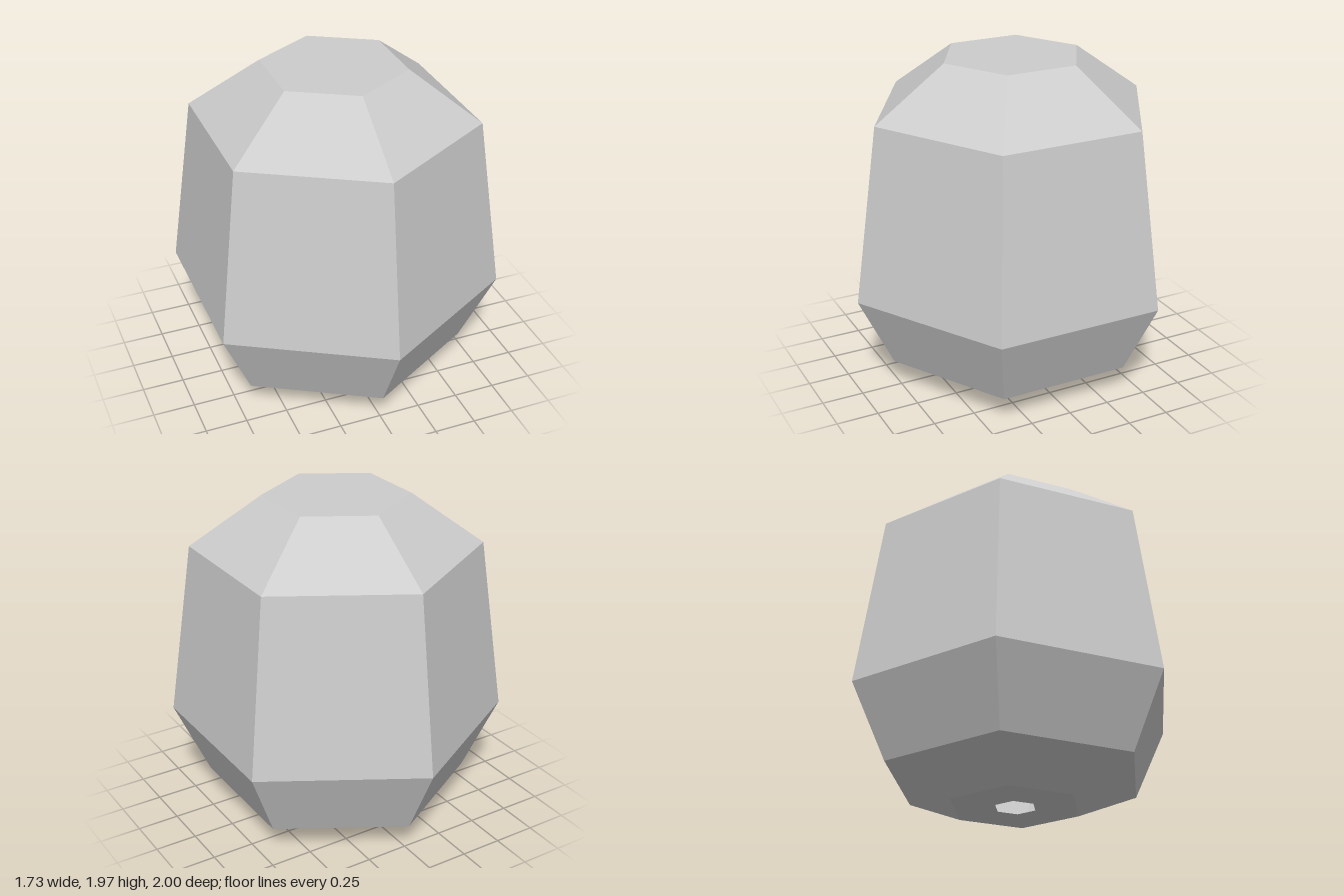
import * as THREE from 'three';

export function createModel() {
  const model = new THREE.Group();
  const lightGrey = new THREE.MeshStandardMaterial({
    color: 0xcccccc, flatShading: true, side: THREE.DoubleSide,
  });
  lightGrey.name = 'light grey';

  // Six-sided hollow shell, corners on the z axis
  const shellProfile = [
    [0.125, 0], // rim of the small hole underneath
    [0.4, 0],
    [0.79, 0.165],
    [1, 0.605],
    [0.85, 1.66],
    [0.425, 1.965],
    [0, 1.965], // closed flat top
  ].map(([r, y]) => new THREE.Vector2(r, y));

  const geometry = new THREE.LatheGeometry(shellProfile, 6).toNonIndexed();
  geometry.computeVertexNormals();
  const shell = new THREE.Mesh(geometry, lightGrey);
  shell.name = 'facetedShell';
  model.add(shell);
  return model;
}
